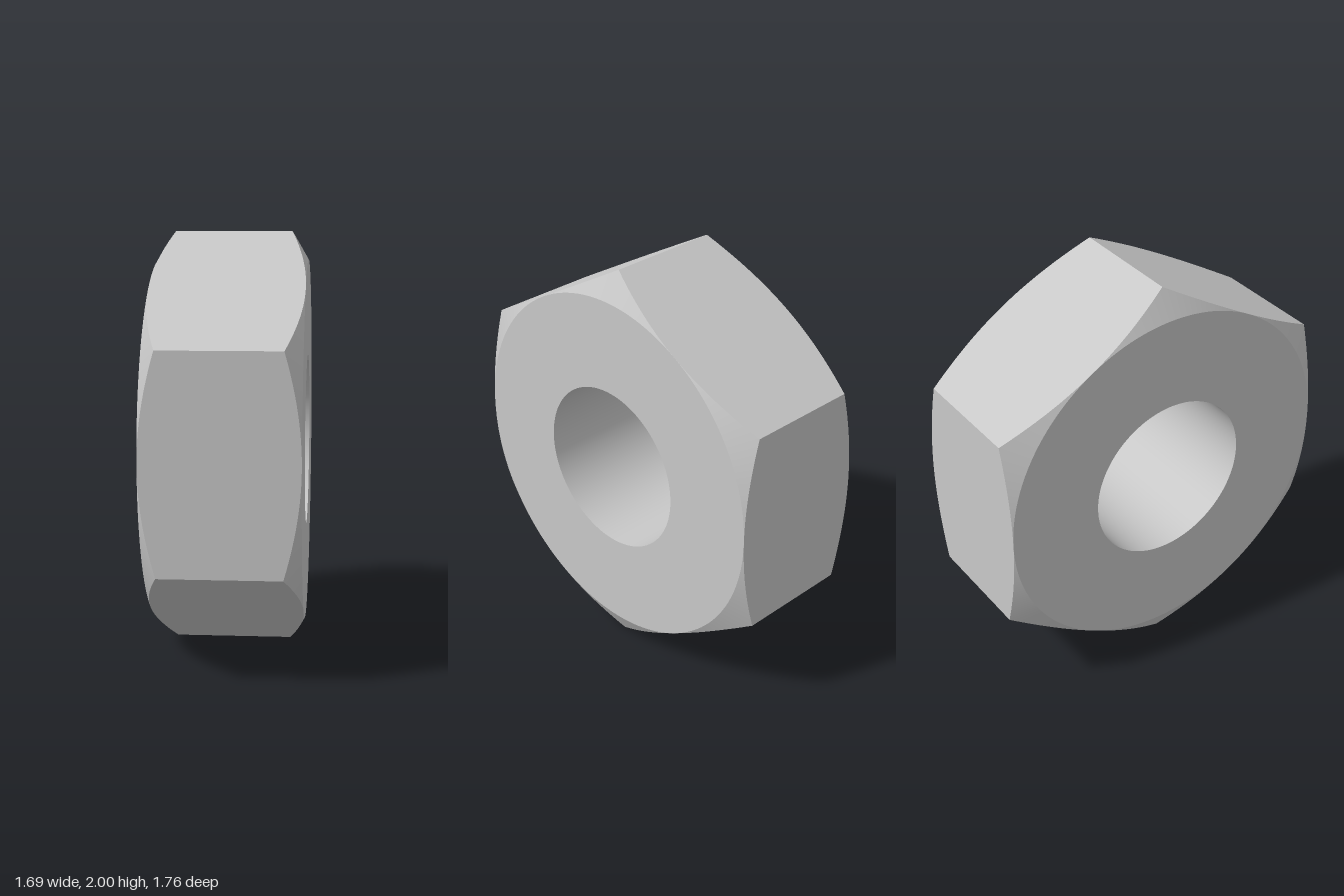
import * as THREE from 'three';

const APOTHEM = 0.866;    // centre to flat, also the radius of the round end faces
const BORE = 0.408;       // hole radius
const HALF = 0.357;       // half thickness
const SLOPE = 0.577;      // 30 degree chamfer
const STEPS = 24;         // segments along each of the six sides

// A band around the axis between two sections, made side by side so corners stay sharp.
// Each section returns [radius, z] and normalAt returns [radial, axial, angle].
function band(name, material, from, to, normalAt) {
  const pos = [], nor = [], idx = [];
  for (let side = 0; side < 6; side++) {
    const mid = (side * Math.PI) / 3;
    const base = pos.length / 3;
    for (let i = 0; i <= STEPS; i++) {
      const offset = (i / STEPS - 0.5) * (Math.PI / 3);
      const angle = mid + offset;
      const corner = APOTHEM / Math.cos(offset);
      const [nr, nz, na] = normalAt(angle, mid);
      const n = new THREE.Vector3(nr * Math.cos(na), nr * Math.sin(na), nz).normalize();
      for (const [r, z] of [from(corner), to(corner)]) {
        pos.push(r * Math.cos(angle), r * Math.sin(angle), z);
        nor.push(n.x, n.y, n.z);
      }
      if (i < STEPS) {
        const a = base + i * 2;
        idx.push(a, a + 2, a + 3, a, a + 3, a + 1);
      }
    }
  }
  const geometry = new THREE.BufferGeometry();
  geometry.setAttribute('position', new THREE.Float32BufferAttribute(pos, 3));
  geometry.setAttribute('normal', new THREE.Float32BufferAttribute(nor, 3));
  geometry.setIndex(idx);
  const mesh = new THREE.Mesh(geometry, material);
  mesh.name = name;
  return mesh;
}

export function createModel() {
  const steel = new THREE.MeshStandardMaterial({ color: 0xc8c8c8 });
  steel.name = 'steel grey';

  // Sections of the nut, given the distance from the axis to the hexagon
  const edgeZ = (r) => HALF - (r - APOTHEM) * SLOPE;
  const hex = (s) => (r) => [r, s * edgeZ(r)];
  const rim = (s) => () => [APOTHEM, s * HALF];
  const hole = (s) => () => [BORE, s * HALF];

  const nut = new THREE.Group();
  nut.name = 'hexNut';
  nut.add(
    band('hexSides', steel, hex(-1), hex(1), (angle, mid) => [1, 0, mid]),
    band('frontChamfer', steel, hex(1), rim(1), (angle) => [SLOPE, 1, angle]),
    band('backChamfer', steel, rim(-1), hex(-1), (angle) => [SLOPE, -1, angle]),
    band('frontFace', steel, rim(1), hole(1), (angle) => [0, 1, angle]),
    band('backFace', steel, hole(-1), rim(-1), (angle) => [0, -1, angle]),
    band('bore', steel, hole(1), hole(-1), (angle) => [-1, 0, angle])
  );

  // Stand on a corner, with the axis turned toward the front left
  nut.position.y = 1;
  nut.rotation.y = Math.atan2(-0.741, 0.671);

  const model = new THREE.Group();
  model.name = 'model';
  model.add(nut);
  return model;
}
